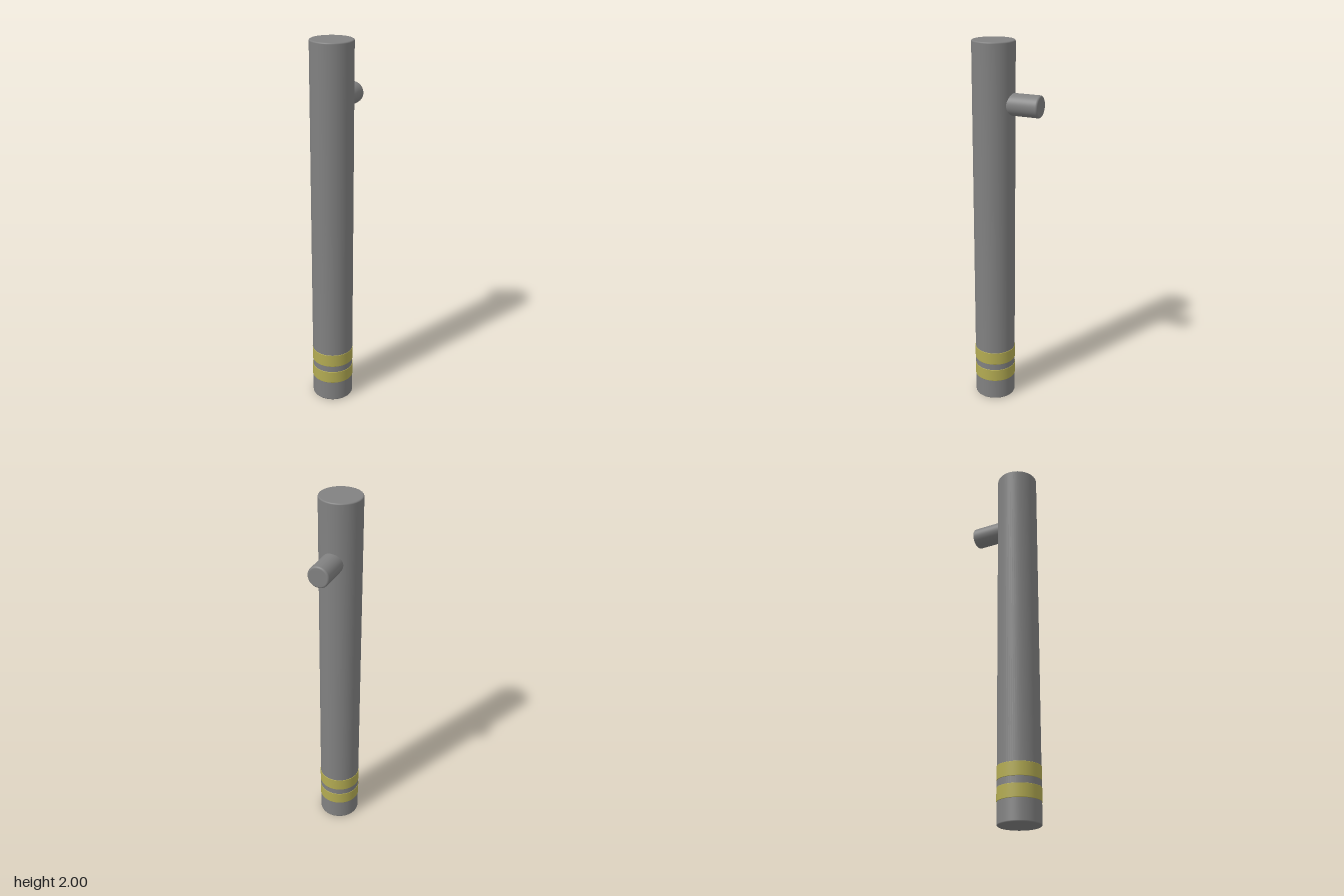
import * as THREE from 'three';

const grey = new THREE.MeshStandardMaterial({ color: 0x818181 });
const yellow = new THREE.MeshStandardMaterial({ color: 0xb3ab52 });

// Solid round bar along y with rounded rims; bevel is the rim radius
function roundBar(name, radius, y0, y1, bevel, material) {
  const rim = (y, from) => Array.from({ length: 5 }, (_, i) => {
    const a = from + (i / 4) * Math.PI / 2;
    return new THREE.Vector2(radius - bevel + Math.cos(a) * bevel, y + Math.sin(a) * bevel);
  });
  const points = [
    new THREE.Vector2(0, y0),
    ...rim(y0 + bevel, -Math.PI / 2),
    ...rim(y1 - bevel, 0),
    new THREE.Vector2(0, y1),
  ];
  const mesh = new THREE.Mesh(new THREE.LatheGeometry(points, 64), material);
  mesh.name = name;
  return mesh;
}

export function createModel() {
  const group = new THREE.Group();
  group.name = 'postWithPeg';

  // Upright post with two coloured bands near its foot
  const post = new THREE.Group();
  post.name = 'post';
  post.position.z = 0.073;
  post.add(
    roundBar('postBody', 0.1105, 0, 2, 0.007, grey),
    roundBar('lowerBand', 0.1125, 0.115, 0.185, 0.002, yellow),
    roundBar('upperBand', 0.1125, 0.22, 0.292, 0.002, yellow),
  );
  group.add(post);

  // Short peg reaching backwards from the upper post
  const peg = roundBar('mountingPeg', 0.057, -0.02, 0.187, 0.01, grey);
  peg.rotation.x = -Math.PI / 2;
  peg.position.y = 1.685;
  group.add(peg);

  return group;
}
